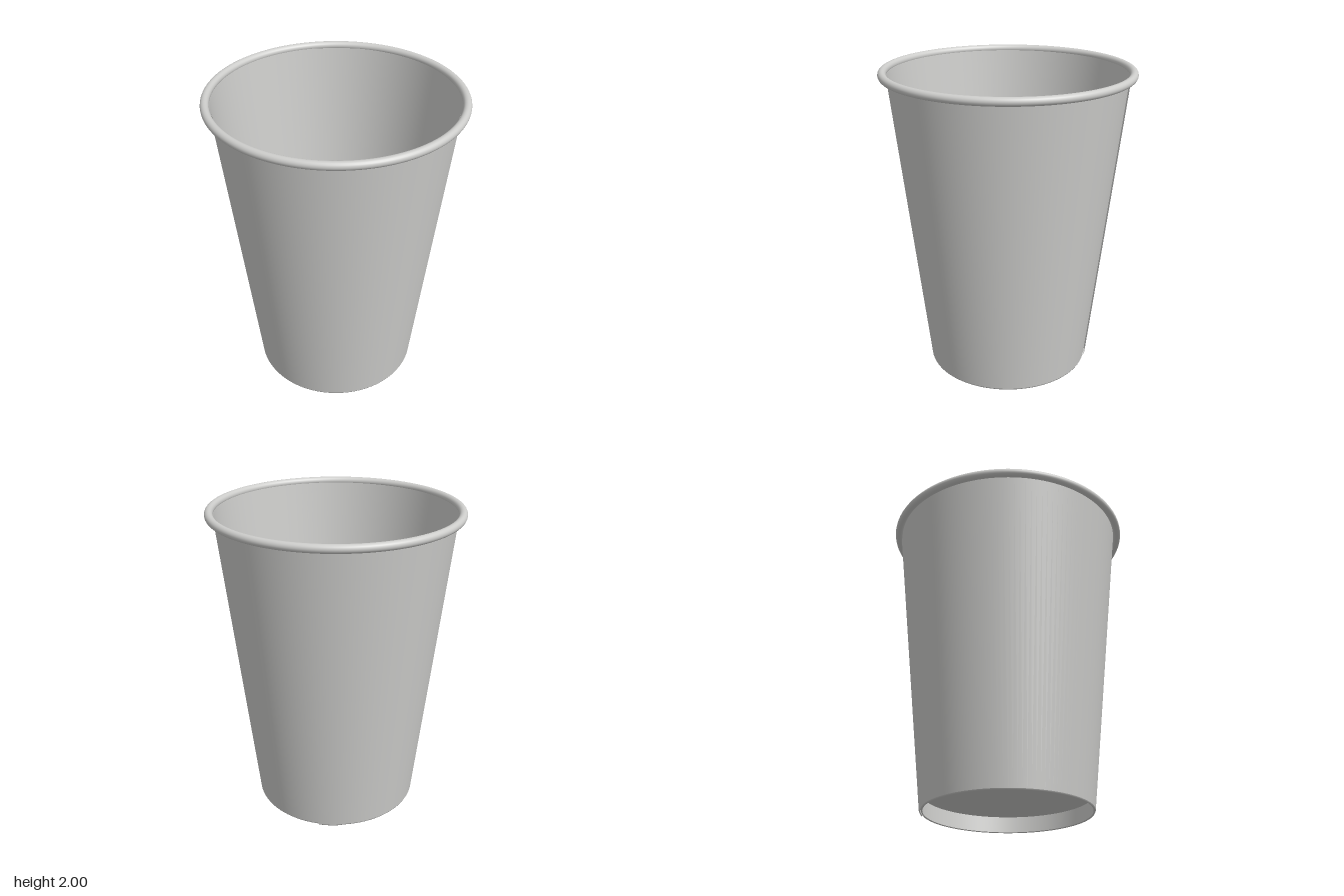
import * as THREE from 'three';

const OVERLAP = 0.19;   // angle of the glued side seam at the back
const PAPER = 0.008;    // paper thickness

export function createModel() {
  const paper = new THREE.MeshStandardMaterial({ color: 0xcdcdcb, side: THREE.DoubleSide });
  paper.name = 'paper';
  const cup = new THREE.Group();
  cup.name = 'paperCup';

  const add = (name, geometry, parent = cup) => {
    const mesh = new THREE.Mesh(geometry, paper);
    mesh.name = name;
    parent.add(mesh);
    return mesh;
  };
  const lathe = (pts, ...sweep) =>
    new THREE.LatheGeometry(pts.map(([r, y]) => new THREE.Vector2(r, y)), 128, ...sweep);

  // A rolled sheet: it sweeps past a full turn and its outer end is lifted over the inner end
  const rolled = (pts) => {
    const length = Math.PI * 2 + OVERLAP;
    const g = lathe(pts, -Math.PI, length);
    const p = g.attributes.position;
    for (let i = 0; i < p.count; i++) {
      const turned = Math.floor(i / pts.length) / 128 * length;
      const lift = (PAPER + 0.001) * (1 - THREE.MathUtils.smoothstep(turned, OVERLAP, OVERLAP + 0.15));
      const r = Math.hypot(p.getX(i), p.getZ(i));
      p.setX(i, p.getX(i) * (r + lift) / r);
      p.setZ(i, p.getZ(i) * (r + lift) / r);
    }
    return g;
  };

  // Tapered side wall with an overlapping seam
  const wall = new THREE.Group();
  wall.name = 'sideWall';
  cup.add(wall);
  add('outerWall', rolled([[0.535, 0.008], [0.749, 1.965]]), wall);
  add('innerWall', rolled([[0.749 - PAPER, 1.965], [0.535 - PAPER, 0.008]]), wall);
  add('bottomEdge', rolled([[0.535 - PAPER, 0.008], [0.531, 0], [0.535, 0.008]]), wall);

  // Recessed floor with a skirt folded down inside the wall
  const floor = new THREE.Group();
  floor.name = 'floor';
  cup.add(floor);
  add('floorTop', lathe([[0.537, 0.12], [0, 0.12]]), floor);
  add('floorUnderside', lathe([[0, 0.108], [0.53, 0.108]]), floor);
  add('floorSkirt', lathe([[0.532, 0.108], [0.522, 0.004]]), floor);
  add('skirtEdge', lathe([[0.522, 0.004], [0.53, 0.004]]), floor);

  // Rolled rim
  const rim = add('rim', new THREE.TorusGeometry(0.773, 0.026, 20, 128));
  rim.rotation.x = Math.PI / 2;
  rim.position.y = 1.974;

  return cup;
}
